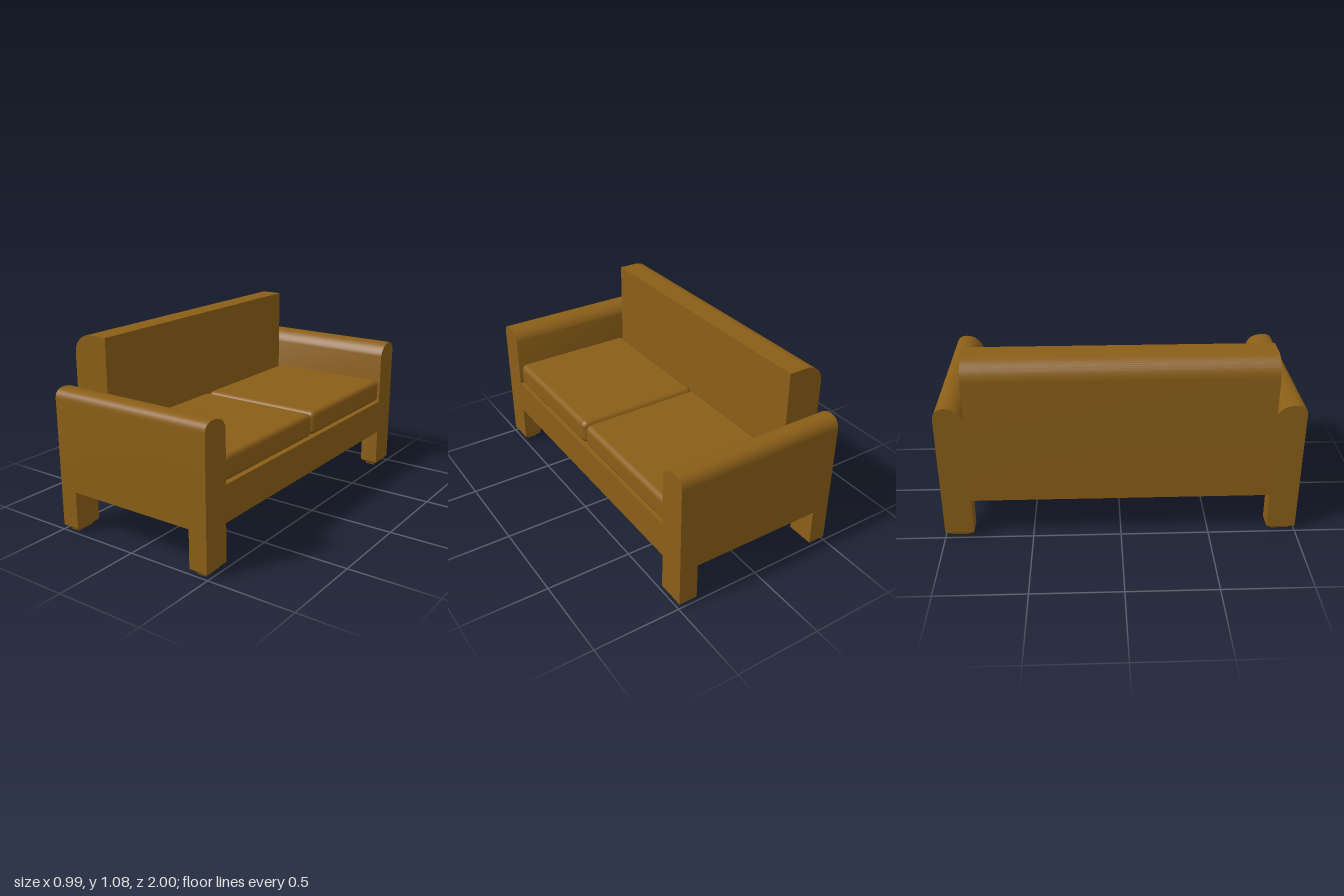
import * as THREE from 'three';
import { toCreasedNormals } from 'three/addons/utils/BufferGeometryUtils.js';
import { RoundedBoxGeometry } from 'three/addons/geometries/RoundedBoxGeometry.js';

const BACK = -0.495, FRONT = 0.495;   // the seat opens toward +x
const UNDER = 0.245, INNER = 0.837;   // underside height, inner face of the arms
const brown = new THREE.MeshStandardMaterial({ color: 0x8a5e17 });

export function createModel() {
  const sofa = new THREE.Group();
  sofa.name = 'sofa';

  const add = (name, geometry, x = 0, y = 0, z = 0) => {
    const mesh = new THREE.Mesh(geometry, brown);
    mesh.name = name;
    mesh.position.set(x, y, z);
    sofa.add(mesh);
  };
  // Box given by its limits on each axis
  const addBox = (name, x0, x1, y0, y1, z0, z1) =>
    add(name, new THREE.BoxGeometry(x1 - x0, y1 - y0, z1 - z0),
      (x0 + x1) / 2, (y0 + y1) / 2, (z0 + z1) / 2);
  const extrude = (shape, depth) => toCreasedNormals(
    new THREE.ExtrudeGeometry(shape, { depth, bevelEnabled: false, curveSegments: 8 }), 0.6);

  // Foot: a box whose rows are drawn in to a stepped, concave profile
  const footHeight = 0.03;
  const insets = [0.028, 0.026, 0.019, 0.01, 0.005];   // from floor to leg
  const footGeometry = (w, d) => {
    const geometry = new THREE.BoxGeometry(w, footHeight, d, 1, 4, 1);
    const p = geometry.attributes.position;
    for (let i = 0; i < p.count; i++) {
      const inset = insets[Math.round((p.getY(i) / footHeight + 0.5) * 4)];
      p.setX(i, p.getX(i) - Math.sign(p.getX(i)) * inset);
      p.setZ(i, p.getZ(i) - Math.sign(p.getZ(i)) * inset);
    }
    return toCreasedNormals(geometry, 0.3);
  };

  // Arms with rounded tops, each standing on two legs
  for (const [side, s, top] of [['right', 1, 0.81], ['left', -1, 0.825]]) {
    const shape = new THREE.Shape();   // shape x runs along -z
    const u = (z) => -s * z;
    shape.moveTo(u(1), UNDER);
    shape.lineTo(u(1), 0.755);
    shape.bezierCurveTo(u(1), 0.79, u(0.98), top, u(0.935), top);
    shape.bezierCurveTo(u(0.885), top, u(0.85), 0.79, u(INNER), 0.75);
    shape.lineTo(u(INNER), UNDER);
    shape.closePath();
    const geometry = extrude(shape, FRONT - BACK);
    geometry.rotateY(Math.PI / 2);
    add(side + 'Arm', geometry, BACK);

    const z0 = Math.min(s * INNER, s), z1 = Math.max(s * INNER, s);
    for (const [end, x0, x1] of [['back', BACK, -0.39], ['front', 0.387, FRONT]]) {
      addBox(`${side}${end}Leg`, x0, x1, footHeight, UNDER, z0, z1);
      add(`${side}${end}Foot`, footGeometry(x1 - x0, z1 - z0),
        (x0 + x1) / 2, footHeight / 2, (z0 + z1) / 2);
    }
  }

  // Seat base between the arms
  addBox('seatBase', -0.275, FRONT, UNDER, 0.45, -INNER, INNER);

  // Backrest with a rounded rear top edge
  const back = new THREE.Shape();
  back.moveTo(BACK, UNDER);
  back.lineTo(-0.275, UNDER);
  back.lineTo(-0.275, 1.08);
  back.lineTo(-0.385, 1.08);
  back.absarc(-0.385, 0.97, 0.11, Math.PI / 2, Math.PI, false);
  back.closePath();
  add('backrest', extrude(back, 2 * INNER), 0, 0, -INNER);

  // Two seat cushions with soft edges
  for (const [name, z] of [['rightCushion', 0.413], ['leftCushion', -0.433]]) {
    add(name, new RoundedBoxGeometry(0.75, 0.14, 0.838, 4, 0.032), 0.11, 0.52, z);
  }

  return sofa;
}
